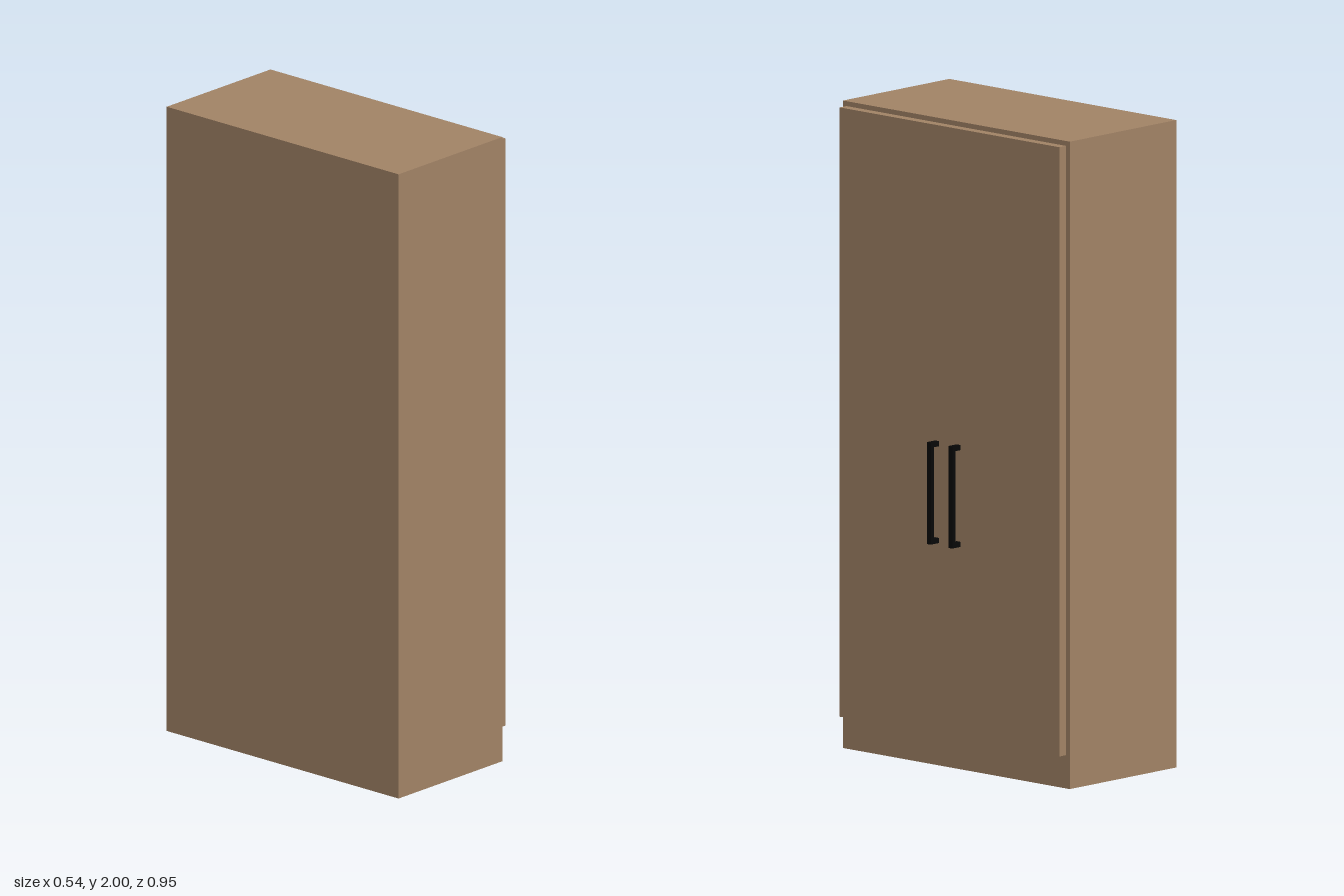
import * as THREE from 'three';

const wood = new THREE.MeshStandardMaterial({ name: 'wood', color: 0xa08265 });
const black = new THREE.MeshStandardMaterial({ name: 'black', color: 0x070707 });

// Box given by its min and max corners
function box(name, min, max, material) {
  const size = max.map((v, i) => v - min[i]);
  const mesh = new THREE.Mesh(new THREE.BoxGeometry(...size), material);
  mesh.position.set(...max.map((v, i) => (v + min[i]) / 2));
  mesh.name = name;
  return mesh;
}

// Bar handle: upright grip on two short posts
function handle(name, z) {
  const group = new THREE.Group();
  group.name = name;
  const h = 0.008;
  group.add(box('grip', [0.257, 0.697, z - h], [0.272, 1.012, z + h], black));
  for (const y of [0.697, 0.996]) {
    group.add(box('post', [0.236, y, z - h], [0.257, y + 0.016, z + h], black));
  }
  return group;
}

export function createModel() {
  const model = new THREE.Group();
  model.name = 'wardrobe';

  // Wooden boxes with a black underside (face order: +x, -x, +y, -y, +z, -z)
  const panel = [wood, wood, wood, black, wood, wood];
  model.add(box('cabinet', [-0.272, 0, -0.473], [0.198, 2, 0.473], panel));
  model.add(box('doorPanel', [0.198, 0.103, -0.458], [0.228, 1.985, 0.458], panel));

  // Handles either side of the centre
  model.add(handle('leftHandle', -0.045), handle('rightHandle', 0.045));
  return model;
}
